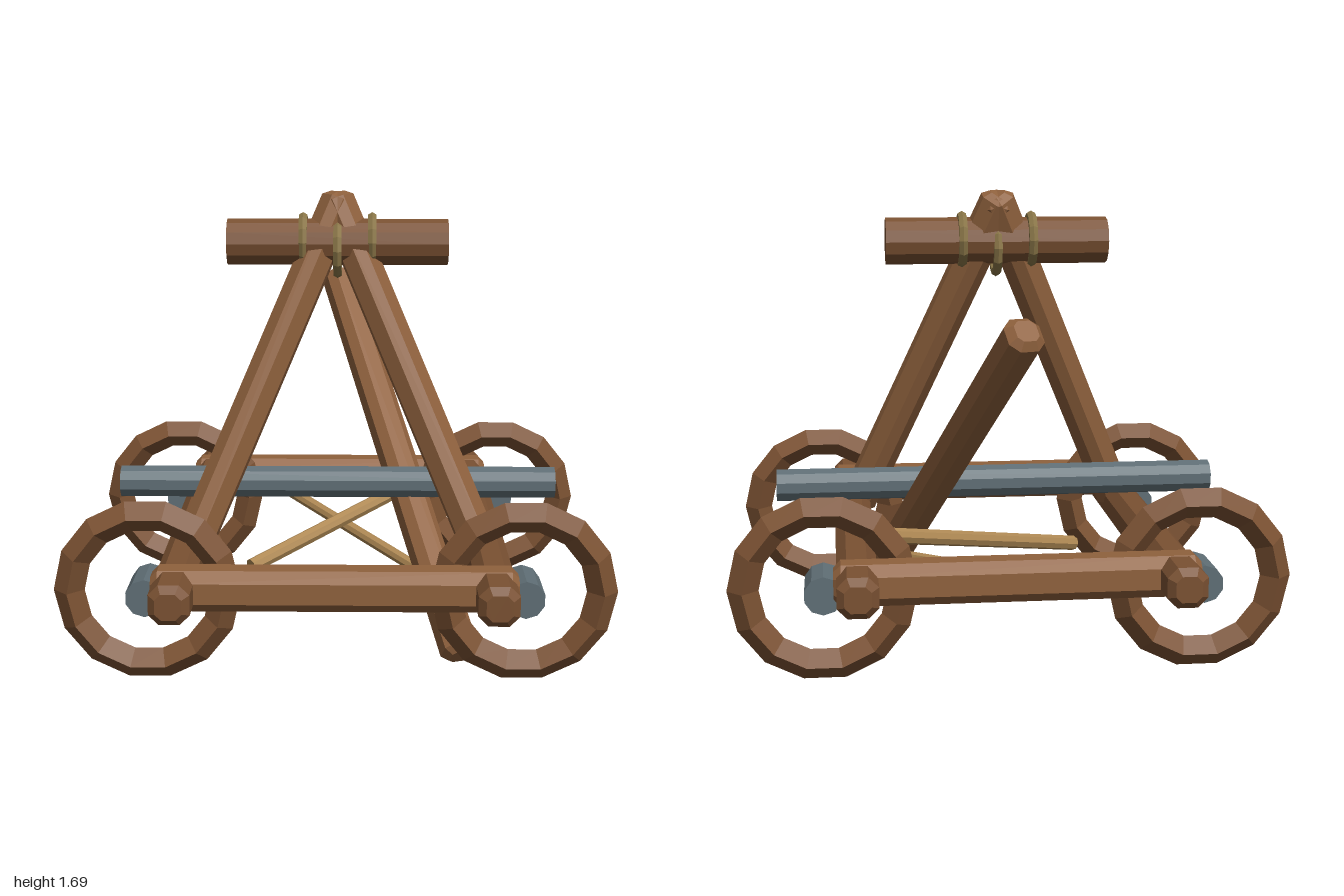
import * as THREE from 'three';

const mat = (color) => new THREE.MeshStandardMaterial({ color, flatShading: true });
const DARK = mat(0x7a5132), WOOD = mat(0x8f613d), POLE = mat(0xb08a55), IRON = mat(0x5f6e75), ROPE = mat(0x8a7648);

export function createModel() {
  const model = new THREE.Group();
  const add = (name, geometry, material, x = 0, y = 0, z = 0) => {
    const mesh = new THREE.Mesh(geometry, material);
    mesh.name = name;
    mesh.position.set(x, y, z);
    model.add(mesh);
    return mesh;
  };

  // Timber of square section with cut corners and bevelled ends, from point a to point b
  const beam = (name, a, b, width, material) => {
    const from = new THREE.Vector3(...a), to = new THREE.Vector3(...b);
    const bevel = 0.025, h = width / 2 - bevel, c = h * 0.55;
    const section = new THREE.Shape(
      [[h, -c], [h, c], [c, h], [-c, h], [-h, c], [-h, -c], [-c, -h], [c, -h]].map((p) => new THREE.Vector2(...p)));
    const geometry = new THREE.ExtrudeGeometry(section, {
      depth: from.distanceTo(to) - 2 * bevel, bevelEnabled: true,
      bevelThickness: bevel, bevelSize: bevel, bevelSegments: 1,
    });
    geometry.translate(0, 0, bevel);
    add(name, geometry, material, ...a).lookAt(to);
  };

  // Round rod from point a to point b
  const rod = (name, a, b, radius, sides, material) => {
    const from = new THREE.Vector3(...a), to = new THREE.Vector3(...b);
    const geometry = new THREE.CylinderGeometry(radius, radius, from.distanceTo(to), sides);
    geometry.rotateX(Math.PI / 2);
    const mid = from.clone().add(to).multiplyScalar(0.5);
    add(name, geometry, material, mid.x, mid.y, mid.z).lookAt(to);
  };

  // Base frame and the two leaning legs that cross at the top
  for (const s of [-1, 1]) {
    const side = s > 0 ? 'left' : 'right';
    beam(side + 'Rail', [s * 0.55, 0.415, -0.95], [s * 0.55, 0.415, 0.95], 0.14, DARK);
    beam(s > 0 ? 'frontCrossbeam' : 'rearCrossbeam', [-0.63, 0.415, s * 0.75], [0.63, 0.415, s * 0.75], 0.145, WOOD);
    beam(side + 'Leg', [s * 0.535, 0.42, 0.325], [s * -0.015, 1.685, -0.08], 0.128, WOOD);
  }

  // Ring wheels on short axle stubs
  for (const x of [-0.665, 0.665]) {
    for (const z of [-0.607, 0.607]) {
      const place = (z > 0 ? 'front' : 'rear') + (x > 0 ? 'Left' : 'Right');
      add(place + 'Wheel', new THREE.TorusGeometry(0.278, 0.055, 4, 14), DARK, x, 0.355, z);
      rod(place + 'Axle', [x, 0.355, z - 0.092], [x, 0.355, z + 0.092], 0.068, 10, IRON);
    }
  }

  // Iron bar and throwing arm
  rod('ironBar', [-0.84, 0.585, 0], [0.84, 0.585, 0], 0.062, 10, IRON);
  beam('throwingArm', [0.46, 0.05, 0.46], [-0.01, 1.28, -0.87], 0.13, WOOD);

  // Thin poles lying across the frame
  rod('highPole', [0.47, 0.52, -0.53], [-0.33, 0.285, 0.14], 0.029, 8, POLE);
  rod('lowPole', [-0.24, 0.36, -0.7], [0.36, 0.25, 0.15], 0.024, 8, POLE);

  // Top log with its rope lashings
  rod('topLog', [-0.415, 1.515, -0.03], [0.415, 1.515, -0.03], 0.087, 12, DARK);
  for (const [x, y, z, r] of [[-0.13, 1.52, -0.04, 0.088], [0, 1.49, -0.02, 0.093], [0.13, 1.52, -0.04, 0.088]]) {
    add('ropeLashing', new THREE.TorusGeometry(r, 0.018, 6, 12), ROPE, x, y, z).rotation.y = Math.PI / 2;
  }
  return model;
}
